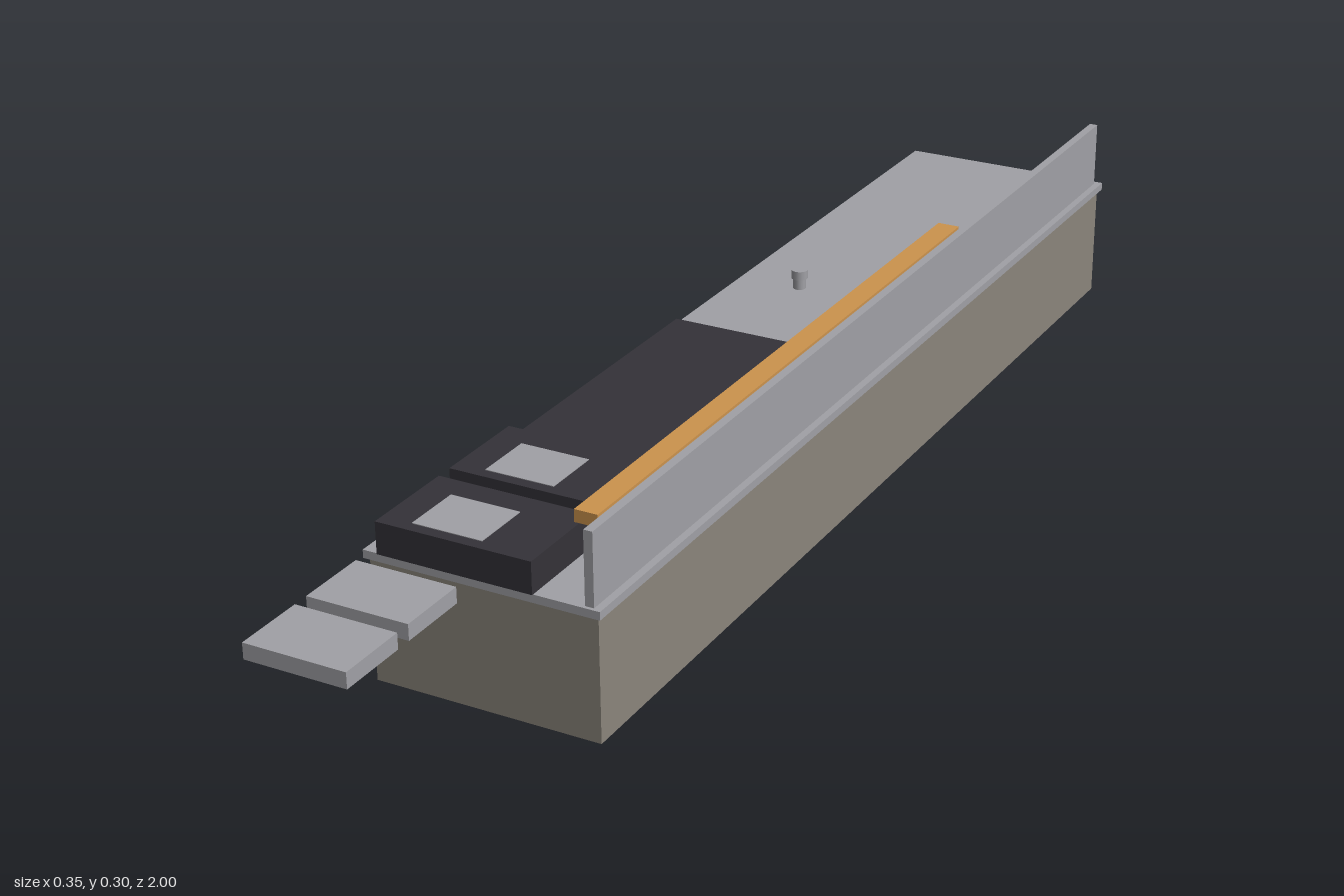
import * as THREE from 'three';

export function createModel() {
  const group = new THREE.Group();
  const material = (name, color) => {
    const m = new THREE.MeshStandardMaterial({ color });
    m.name = name;
    return m;
  };
  const stone = material('warm grey', 0x8b857c);
  const steel = material('steel grey', 0xa1a1a6);
  const dark = material('charcoal', 0x343238);
  const wood = material('wood', 0xcc934d);

  const add = (name, geometry, mat, x, y, z) => {
    const mesh = new THREE.Mesh(geometry, mat);
    mesh.name = name;
    mesh.position.set(x, y, z);
    group.add(mesh);
  };
  // Box given by its lower and upper limits on each axis
  const box = (name, mat, [x0, x1], [y0, y1], [z0, z1]) =>
    add(name, new THREE.BoxGeometry(x1 - x0, y1 - y0, z1 - z0), mat,
      (x0 + x1) / 2, (y0 + y1) / 2, (z0 + z1) / 2);
  const cylinder = (name, mat, r, x, z, y0, y1) =>
    add(name, new THREE.CylinderGeometry(r, r, y1 - y0, 16), mat, x, (y0 + y1) / 2, z);

  // Counter body, worktop and upright splash panel
  const top = 0.193;
  box('counterBase', stone, [-0.169, 0.17], [0, 0.181], [-0.99, 0.695]);
  box('worktop', steel, [-0.176, 0.175], [0.181, top], [-1, 0.7]);
  box('splashPanel', steel, [0.151, 0.164], [top, 0.299], [-0.99, 0.695]);

  // Raised shelf on three thin posts
  box('shelf', wood, [0.111, 0.145], [0.279, 0.297], [-0.45, 0.65]);
  for (const z of [-0.195, 0.1, 0.395]) cylinder('shelfPost', steel, 0.0035, 0.128, z, top, 0.279);

  // Flat griddle
  box('griddle', dark, [-0.166, 0.087], [top, 0.209], [-0.11, 0.355]);

  // Two fryers with inset trays, and the matching loose plates in front
  for (const z of [0.383, 0.555]) {
    box('fryer', dark, [-0.153, 0.079], [top, 0.24], [z, z + 0.147]);
    box('fryerTray', steel, [-0.108, -0.003], [0.235, 0.241], [z + 0.04, z + 0.13]);
  }
  for (const z of [0.767, 0.895]) box('frontPlate', steel, [-0.138, 0.011], [0.196, 0.219], [z, z + 0.105]);

  // Small knob on the worktop
  cylinder('knobStem', steel, 0.01, -0.074, -0.34, top, 0.21);
  cylinder('knobCap', steel, 0.013, -0.074, -0.34, 0.21, 0.224);

  return group;
}
